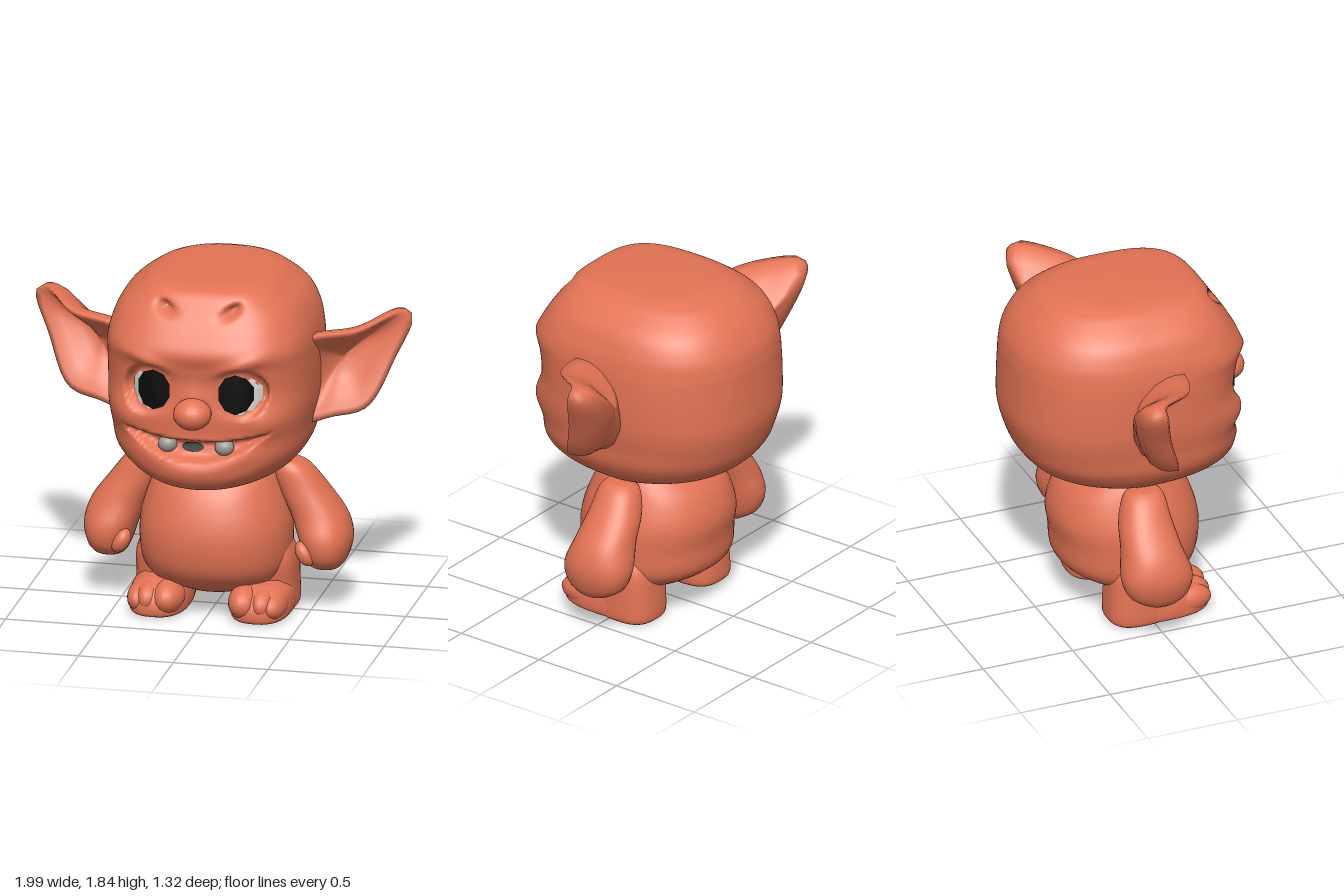
import * as THREE from 'three';

const S = THREE.MathUtils.smoothstep;
const mat = (name, color) => {
  const m = new THREE.MeshStandardMaterial({ color });
  m.name = name;
  return m;
};

// Closed skin over a list of rings (equal point counts), capped at both ends
function skin(rings, flip = false) {
  const n = rings[0].length, pos = [], idx = [];
  const tri = (a, b, c) => (flip ? idx.push(a, c, b) : idx.push(a, b, c));
  rings.forEach((r) => r.forEach((p) => pos.push(p.x, p.y, p.z)));
  const last = (rings.length - 1) * n, c0 = rings.length * n;
  for (const r of [rings[0], rings[rings.length - 1]]) {
    const c = r.reduce((s, p) => s.add(p), new THREE.Vector3()).divideScalar(n);
    pos.push(c.x, c.y, c.z);
  }
  for (let j = 0; j < n; j++) {
    const k = (j + 1) % n;
    for (let i = 0; i < rings.length - 1; i++) {
      const a = i * n + j, b = i * n + k;
      tri(a, a + n, b);
      tri(b, a + n, b + n);
    }
    tri(c0, j, k);
    tri(c0 + 1, last + k, last + j);
  }
  const g = new THREE.BufferGeometry();
  g.setAttribute('position', new THREE.Float32BufferAttribute(pos, 3));
  g.setIndex(idx);
  g.computeVertexNormals();
  return g;
}

// Smooth sampler through rows of [y, centre x, half width, front z, back z]
function sampler(rows) {
  const cols = rows[0].map((_, c) => new THREE.SplineCurve(rows.map((r) => new THREE.Vector2(r[c], 0))));
  return (t) => cols.map((c) => c.getPoint(t).x);
}

// Stack of rounded sections; front and back halves have their own squareness
function loft(rows, { steps = 24, sides = 32, nf = () => 2.2, nb = 2.2, detail = null, side = 1 } = {}) {
  const at = sampler(rows), rings = [];
  for (let i = 0; i <= steps; i++) {
    const [y, cx, w, zf, zb] = at(i / steps);
    const mid = (zf + zb) / 2, zc = detail ? Math.min(0, mid) : mid, ring = [];
    for (let j = 0; j < sides; j++) {
      const a = (j / sides) * Math.PI * 2, c = Math.cos(a), s = Math.sin(a);
      const e = 2 / (s > 0 ? nf(y) : nb);
      const x = Math.sign(c) * w * Math.abs(c) ** e;
      let z = zc + (s > 0 ? zf - zc : zb - zc) * Math.abs(s) ** e;
      if (detail && s > 0.01) z = detail(x, y, z);
      ring.push(new THREE.Vector3(side * cx + x, y, z));
    }
    rings.push(ring);
  }
  return skin(rings);
}

const HEAD = [
  [0.75, 0, 0.2, 0.42, -0.1], [0.785, 0, 0.34, 0.51, -0.25], [0.85, 0, 0.435, 0.56, -0.48],
  [0.94, 0, 0.495, 0.55, -0.58], [1.05, 0, 0.515, 0.52, -0.63], [1.17, 0, 0.535, 0.525, -0.66],
  [1.3, 0, 0.54, 0.515, -0.66], [1.42, 0, 0.54, 0.53, -0.655], [1.51, 0, 0.535, 0.555, -0.65],
  [1.6, 0, 0.515, 0.515, -0.63], [1.7, 0, 0.465, 0.45, -0.57], [1.785, 0, 0.365, 0.39, -0.475],
  [1.815, 0, 0.31, 0.33, -0.41], [1.83, 0, 0.25, 0.2, -0.36], [1.838, 0, 0.14, 0.0, -0.32],
  [1.841, 0, 0.03, -0.12, -0.2],
];
const headSquare = (y) => 2.2 + S(y, 0.8, 1.1);
const bump = (dx, dy, rx, ry) => Math.exp(-((dx / rx) ** 2) - (dy / ry) ** 2);

// Facial relief: cheeks, brows, nose bridge, forehead dents, open grin, lower lip, eyeballs
function face(x, y, z) {
  const ax = Math.abs(x), t = Math.min(1, ax / 0.38) ** 2;
  z += 0.035 * bump(ax - 0.38, y - 1.15, 0.1, 0.09);
  z += 0.022 * bump(ax - 0.22, y - 1.46 - 0.3 * (ax - 0.22), 0.13, 0.035);
  z += 0.03 * bump(x, y - 1.27, 0.06, 0.07);
  z -= 0.07 * bump(ax - 0.175, y - 1.725 - 0.4 * (ax - 0.175), 0.04, 0.025);
  const up = 1.035 + 0.055 * t, low = 0.945 + 0.145 * t;
  if (ax < 0.39) {
    z -= 0.06 * S(y, low - 0.012, low + 0.012) * (1 - S(y, up - 0.012, up + 0.012));
    z += 0.012 * bump(0, y - low + 0.05, 1, 0.04) * (1 - t);
  }
  const eyeZ = 0.51 - 0.105 * (Math.max(0, ax - 0.13) / 0.21) ** 4;
  const r = Math.hypot((ax - 0.235) / 0.11, (y - 1.31) / 0.11);
  return THREE.MathUtils.lerp(z, eyeZ, 1 - S(r, 1, 1.35));
}

// Depth of the front of the head at (x, y)
const headAt = sampler(HEAD);
function faceZ(x, y) {
  let lo = 0, hi = 1;
  for (let i = 0; i < 30; i++) {
    const m = (lo + hi) / 2;
    if (headAt(m)[0] < y) lo = m; else hi = m;
  }
  const [, , w, zf, zb] = headAt(lo), zc = Math.min(0, (zf + zb) / 2), n = headSquare(y);
  return face(x, y, zc + (zf - zc) * (1 - Math.abs(x / w) ** n) ** (1 / n));
}

// Thin painted disc that follows the face
function facePlate(cx, cy, rx, ry, lift) {
  const g = new THREE.RingGeometry(0.001, 1, 10, 8, Math.PI / 10);
  const p = g.attributes.position;
  for (let i = 0; i < p.count; i++) {
    const x = cx + p.getX(i) * rx, y = cy + p.getY(i) * ry;
    p.setXYZ(i, x, y, faceZ(x, y) + lift);
  }
  g.computeVertexNormals();
  return g;
}

// Pointed cupped ear: hollow front, rim, thick rounded back
function ear(side) {
  const rim = new THREE.CatmullRomCurve3([
    [0.46, 1.03, 0.04], [0.62, 1.06, 0.02], [0.79, 1.11, -0.02], [0.92, 1.36, -0.12],
    [0.998, 1.565, -0.17], [0.955, 1.6, -0.165], [0.76, 1.55, 0.055], [0.46, 1.475, 0.125],
  ].map((p) => new THREE.Vector3(...p)), true, 'centripetal').getSpacedPoints(48).slice(0, 48);
  const centre = new THREE.Vector3(0.66, 1.34, -0.03), n = new THREE.Vector3(0.25, 0, 0.97);
  const layers = [[0.1, -0.1], [0.35, -0.09], [0.62, -0.04], [0.87, -0.002], [1, -0.01],
    [1, -0.06], [0.96, -0.1], [0.82, -0.145], [0.5, -0.175], [0.12, -0.185]];
  return skin(layers.map(([s, d]) => rim.map((p) => {
    const q = centre.clone().lerp(p, s).addScaledVector(n, d);
    q.x *= side;
    return q;
  })), side < 0);
}

export function createModel() {
  const model = new THREE.Group();
  const skinMat = mat('terracotta skin', 0xe37354);
  const white = mat('eye white', 0xeee6e2);
  const black = mat('black', 0x0b0b0b);
  const grey = mat('tooth grey', 0x9c9893);
  const add = (name, geo, m = skinMat) => {
    const mesh = new THREE.Mesh(geo, m);
    mesh.name = name;
    model.add(mesh);
    return mesh;
  };
  const ball = (name, pos, size, m = skinMat) => {
    const b = add(name, new THREE.SphereGeometry(1, 20, 14), m);
    b.position.set(...pos);
    b.scale.set(...size);
    return b;
  };

  // Head and nose
  add('head', loft(HEAD, { steps: 120, sides: 160, nf: headSquare, nb: 2.3, detail: face }));
  ball('nose', [0, 1.205, 0.56], [0.1, 0.082, 0.1]);

  // Belly
  add('body', loft([
    [0.11, 0, 0.15, 0.15, -0.12], [0.17, 0, 0.31, 0.26, -0.25], [0.26, 0, 0.38, 0.34, -0.37],
    [0.4, 0, 0.395, 0.37, -0.39], [0.53, 0, 0.385, 0.355, -0.405], [0.67, 0, 0.34, 0.3, -0.36],
    [0.77, 0, 0.3, 0.22, -0.27], [0.85, 0, 0.25, 0.18, -0.2],
  ], { steps: 32, sides: 48 }));

  // Mouth gap
  add('mouthGap', facePlate(-0.015, 1.003, 0.058, 0.026, 0.009), black);

  for (const side of [1, -1]) {
    const tag = side > 0 ? 'left' : 'right';
    add(tag + 'Ear', ear(side));
    add(tag + 'EyeWhite', facePlate(side * 0.24, 1.305, 0.104, 0.104, 0.004), white);
    add(tag + 'Pupil', facePlate(side * 0.217, 1.31, 0.093, 0.108, 0.009), black);
    ball(tag + 'Tooth', [side * 0.15, 1.01, 0.475], [0.05, 0.045, 0.045], grey);

    // Arm with a curled thumb
    add(tag + 'Arm', loft([
      [0.22, 0.57, 0.045, 0.0, -0.09], [0.245, 0.57, 0.085, 0.06, -0.15], [0.3, 0.572, 0.115, 0.115, -0.22],
      [0.4, 0.565, 0.14, 0.13, -0.25], [0.52, 0.525, 0.145, 0.09, -0.23], [0.65, 0.445, 0.13, 0.065, -0.21],
      [0.76, 0.39, 0.1, 0.05, -0.165], [0.8, 0.38, 0.055, 0.02, -0.115],
    ], { side }));
    const thumb = ball(tag + 'Thumb', [side * 0.485, 0.33, 0.08], [0.045, 0.07, 0.055]);
    thumb.rotation.z = side * 0.5;

    // Leg, foot and toes
    add(tag + 'Leg', loft([
      [0.0, 0.275, 0.13, 0.1, -0.2], [0.03, 0.275, 0.148, 0.12, -0.22], [0.15, 0.272, 0.15, 0.12, -0.215],
      [0.28, 0.27, 0.148, 0.14, -0.2], [0.38, 0.26, 0.12, 0.12, -0.16],
    ], { side, nf: () => 2.8, nb: 2.8 }));
    add(tag + 'Foot', loft([
      [0.0, 0.268, 0.13, 0.3, -0.16], [0.02, 0.268, 0.152, 0.335, -0.18], [0.08, 0.268, 0.155, 0.335, -0.18],
      [0.14, 0.268, 0.14, 0.3, -0.16], [0.185, 0.268, 0.09, 0.22, -0.1],
    ], { side, nf: () => 2.6, nb: 2.6 }));
    [[0.2, 0.083, 0.09], [0.3, 0.07, 0.085], [0.355, 0.065, 0.075]].forEach(([x, w, h], i) =>
      ball(tag + 'Toe' + (i + 1), [side * x, h + 0.008, 0.225 - i * 0.012], [w, h, 0.13]));
  }
  return model;
}
